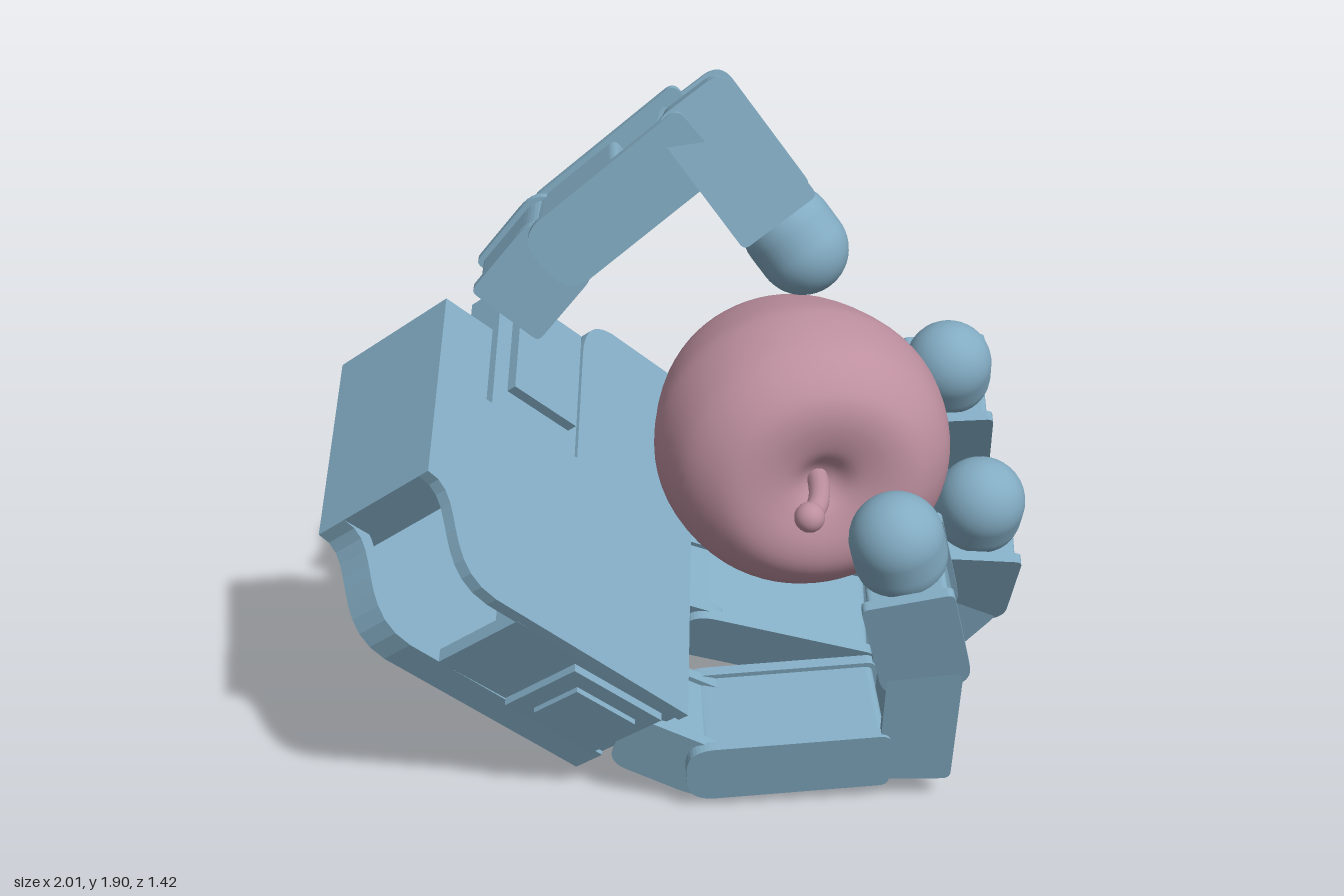
import * as THREE from 'three';

const V = (a) => new THREE.Vector3(...a);
const blue = new THREE.MeshStandardMaterial({ color: 0x82abc2 });
const pink = new THREE.MeshStandardMaterial({ color: 0xbd8f9f });

function add(parent, name, geometry, material = blue) {
  const mesh = new THREE.Mesh(geometry, material);
  mesh.name = name;
  parent.add(mesh);
  return mesh;
}

// Box given by its min and max corner
function block(parent, name, min, max) {
  const a = V(min), b = V(max), s = b.clone().sub(a);
  add(parent, name, new THREE.BoxGeometry(s.x, s.y, s.z)).position.copy(a.add(b).multiplyScalar(0.5));
}

function slab(parent, name, shape, z, depth) {
  const g = new THREE.ExtrudeGeometry(shape, { depth, bevelEnabled: false, curveSegments: 10 });
  add(parent, name, g).position.z = z;
}

// Side view of a link, rounded by r0 at the start and r1 at the end
function linkShape(t, y0, y1, r0, r1) {
  const s = new THREE.Shape(), h = t / 2;
  s.moveTo(-h + r0, y0).lineTo(h - r0, y0).quadraticCurveTo(h, y0, h, y0 + r0);
  s.lineTo(h, y1 - r1).quadraticCurveTo(h, y1, h - r1, y1);
  s.lineTo(-h + r1, y1).quadraticCurveTo(-h, y1, -h, y1 - r1);
  s.lineTo(-h, y0 + r0).quadraticCurveTo(-h, y0, -h + r0, y0);
  return s;
}

// One finger link from p to q: a body recessed between two cheek plates;
// fork is the length at the far end left open between the cheeks
function link(parent, name, p, q, axis, o) {
  const { t = 0.2, w = 0.3, e0 = 0, e1 = 0, r0 = 0.03, r1 = 0.03, fork = 0.01 } = o;
  const dir = q.clone().sub(p), len = dir.length();
  dir.normalize();
  const z = axis.clone().addScaledVector(dir, -axis.dot(dir)).normalize();
  const g = new THREE.Group();
  g.name = name;
  g.matrixAutoUpdate = false;
  g.matrix.makeBasis(dir.clone().cross(z), dir, z).setPosition(p);
  parent.add(g);
  const cheek = linkShape(t, -e0, len + e1, r0, r1);
  slab(g, 'leftCheek', cheek, w / 2 - 0.03, 0.03);
  slab(g, 'rightCheek', cheek, -w / 2, 0.03);
  slab(g, 'linkBody', linkShape(t - 0.03, -e0 + 0.01, len + e1 - fork, r0 * 0.8, r1 * 0.8), -w / 2 + 0.03, w - 0.06);
}

// Domed fingertip from p to the dome centre q
function fingertip(parent, p, q, r) {
  const d = q.clone().sub(p);
  const m = add(parent, 'fingertip', new THREE.CapsuleGeometry(r, d.length(), 12, 32));
  m.position.copy(p).addScaledVector(d, 0.5);
  m.quaternion.setFromUnitVectors(new THREE.Vector3(0, 1, 0), d.normalize());
}

function finger(parent, name, axis, pts) {
  const g = new THREE.Group(), a = V(axis).normalize();
  g.name = name;
  parent.add(g);
  const [p0, p1, p2, p3, tip] = pts.map(V);
  link(g, 'knuckle', p0, p1, a, { w: 0.25, e1: 0.1, r0: 0.06, r1: 0.09 });
  link(g, 'proximalLink', p1, p2, a, { e0: 0.04, e1: -0.08, r0: 0.08 });
  link(g, 'middleLink', p2, p3, a, { e0: 0.085, e1: 0.02, r0: 0.025, r1: 0.05 });
  link(g, 'distalLink', p3, p3.clone().lerp(tip, 0.78), a, { t: 0.24, e0: 0.05, r0: 0.07, r1: 0.02 });
  fingertip(g, p3.clone().lerp(tip, 0.85), tip, 0.123);
}

// Flared edge running from the narrow wrist to the wide knuckle end
function flare() {
  const shape = new THREE.Shape();
  return shape.moveTo(0, 0).bezierCurveTo(0.14, 0, 0.06, -0.24, 0.26, -0.255).lineTo(0.97, -0.27);
}

function makePalm() {
  // Local axes: x toward the fingers, y across the hand, z out of the palm
  const palm = new THREE.Group();
  palm.name = 'palm';
  palm.matrixAutoUpdate = false;
  palm.matrix.makeBasis(V([0.721, -0.66, -0.199]), V([0.175, 0.4545, -0.874]), V([0.667, 0.595, 0.443]))
    .setPosition(-1, 0.81, 0.235);

  // Back plate, cut back beside the thumb
  const back = flare();
  back.lineTo(0.97, 0.85).lineTo(0.72, 0.83).bezierCurveTo(0.58, 0.81, 0.53, 0.72, 0.55, 0.5);
  back.lineTo(0.14, 0.44).lineTo(0.14, 0.57).lineTo(0, 0.57);
  slab(palm, 'backPlate', back, 0, 0.035);

  // Front plate with a notch for the thumb
  const front = flare();
  front.lineTo(0.97, 0.84).lineTo(0.62, 0.84).quadraticCurveTo(0.51, 0.83, 0.51, 0.7);
  front.lineTo(0.51, 0.33).lineTo(0.17, 0.33).lineTo(0.17, 0.57).lineTo(0, 0.57);
  slab(palm, 'frontPlate', front, 0.385, 0.035);

  // Outer side wall, open near the wrist
  const rim = flare();
  rim.lineTo(0.97, -0.23).lineTo(0.27, -0.215).bezierCurveTo(0.1, -0.2, 0.16, 0.04, 0, 0.04);
  slab(palm, 'sideRim', rim, 0.03, 0.07);
  block(palm, 'sideWall', [0.36, -0.258, 0.1], [0.97, -0.22, 0.39]);
  block(palm, 'wristBlock', [0, 0, 0], [0.13, 0.57, 0.42]);

  // Motor cover on the outer side wall
  block(palm, 'sideMotorCover', [0.6, -0.28, 0.1], [0.93, -0.2, 0.36]);
  block(palm, 'sideMotorCap', [0.66, -0.295, 0.15], [0.88, -0.27, 0.31]);

  // Finger motors behind each knuckle
  for (const b of [-0.08, 0.285, 0.66]) {
    block(palm, 'fingerMotor', [0.58, b - 0.13, 0.06], [1.02, b + 0.13, 0.34]);
    block(palm, 'motorBracket', [0.95, b - 0.15, 0.12], [1.06, b + 0.15, 0.28]);
  }
  block(palm, 'sideBracket', [0.86, 0.78, 0.02], [0.99, 0.85, 0.1]);

  // Thumb motor, gearbox and mount
  block(palm, 'thumbMotor', [0.19, 0.33, 0.3], [0.5, 0.74, 0.42]);
  block(palm, 'thumbMotorCap', [0.24, 0.4, 0.41], [0.47, 0.72, 0.45]);
  block(palm, 'thumbGearbox', [0.12, 0.22, 0.16], [0.5, 0.5, 0.39]);
  block(palm, 'thumbMount', [0.48, 0.2, 0.03], [0.56, 0.48, 0.39]);
  return palm;
}

function makeThumb() {
  const g = new THREE.Group(), a = V([0.08, -0.1, -1]).normalize();
  g.name = 'thumb';
  const [t0, t1, t2, tip] = [[-0.43, 1.25, -0.25], [-0.3, 1.41, -0.23], [0.1, 1.735, -0.19], [0.345, 1.395, -0.075]].map(V);
  link(g, 'thumbBase', t0, t1, a, { t: 0.23, w: 0.25, e0: 0.02, e1: 0.06, r0: 0.02, r1: 0.09 });
  link(g, 'thumbProximalLink', t1, t2, a, { t: 0.21, e0: 0.05, e1: -0.02, r0: 0.08, fork: 0.22 });
  link(g, 'thumbDistalLink', t2, t2.clone().lerp(tip, 0.74), a, { t: 0.24, w: 0.29, e0: 0.09, r0: 0.06, r1: 0.02 });
  fingertip(g, t2.clone().lerp(tip, 0.85), tip, 0.125);
  return g;
}

function makeApple() {
  const apple = new THREE.Group();
  apple.name = 'apple';
  // Profile from the blossom end (back) to the stem end (front)
  const ctrl = [[0, -0.315], [0.05, -0.33], [0.13, -0.37], [0.24, -0.335], [0.335, -0.2], [0.393, 0],
    [0.4, 0.12], [0.365, 0.26], [0.285, 0.35], [0.2, 0.375], [0.1, 0.355], [0.04, 0.315], [0, 0.3]];
  const curve = new THREE.SplineCurve(ctrl.map(([r, h]) => new THREE.Vector2(r, h)));
  const pts = curve.getPoints(60).map((p) => new THREE.Vector2(Math.max(0, p.x), p.y));
  const skin = add(apple, 'appleFlesh', new THREE.LatheGeometry(pts, 64).rotateX(Math.PI / 2), pink);
  skin.scale.y = 0.95;
  skin.position.set(0.315, 0.9, 0.005);
  const stem = new THREE.CatmullRomCurve3([[0.31, 0.9, 0.27], [0.3, 0.895, 0.36], [0.275, 0.89, 0.45], [0.235, 0.885, 0.52]].map(V));
  add(apple, 'stem', new THREE.TubeGeometry(stem, 16, 0.028, 14), pink);
  const end = add(apple, 'stemEnd', new THREE.SphereGeometry(0.04, 16, 12), pink);
  end.position.set(0.24, 0.885, 0.508);
  const calyx = add(apple, 'blossomEnd', new THREE.SphereGeometry(0.02, 16, 12), pink);
  calyx.position.set(0.315, 0.9, -0.315);
  return apple;
}

export function createModel() {
  const model = new THREE.Group();
  model.name = 'robotHandHoldingApple';
  model.add(makePalm(), makeThumb(), makeApple());
  finger(model, 'frontFinger', [0.15, 0.28, -0.95],
    [[-0.2, 0.22, 0.27], [-0.02, 0.15, 0.33], [0.57, 0.175, 0.39], [0.56, 0.48, 0.47], [0.455, 0.835, 0.57]]);
  finger(model, 'middleFinger', [0.175, 0.455, -0.874],
    [[-0.12, 0.42, -0.11], [0.045, 0.35, -0.11], [0.625, 0.15, -0.11], [0.82, 0.42, 0], [0.81, 0.71, 0.165]]);
  finger(model, 'backFinger', [0.15, 0.45, -0.87],
    [[-0.04, 0.58, -0.46], [0.13, 0.52, -0.51], [0.76, 0.41, -0.53], [0.87, 0.67, -0.39], [0.815, 0.965, -0.21]]);
  return model;
}
